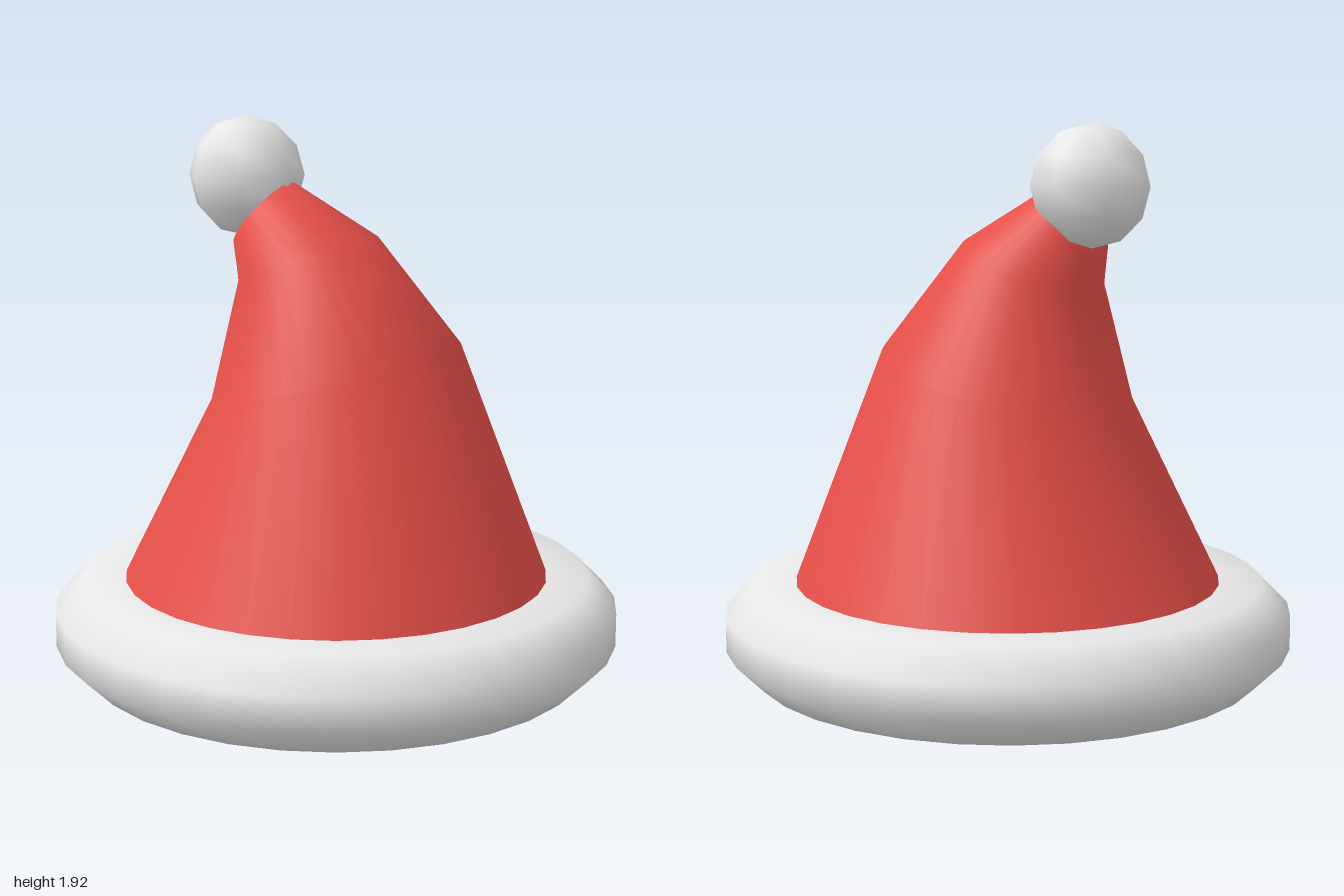
import * as THREE from 'three';

const SIDES = 32;

// Leaning cone: each ring is [lean, height, radius, tilt], leaning toward the back right corner.
function leaningCone(rings) {
  const lean = new THREE.Vector3(-1, 0, -1).normalize();
  const side = new THREE.Vector3(-1, 0, 1).normalize();
  const up = new THREE.Vector3(0, 1, 0);
  const positions = [], index = [];
  for (const [offset, height, radius, tilt] of rings) {
    const centre = lean.clone().multiplyScalar(offset).addScaledVector(up, height);
    const across = lean.clone().multiplyScalar(Math.cos(tilt)).addScaledVector(up, -Math.sin(tilt));
    for (let i = 0; i < SIDES; i++) {
      const a = (i / SIDES) * Math.PI * 2 + Math.PI / 4;
      const p = centre.clone()
        .addScaledVector(across, radius * Math.cos(a))
        .addScaledVector(side, radius * Math.sin(a));
      positions.push(p.x, p.y, p.z);
    }
  }
  for (let r = 0; r < rings.length - 1; r++) {
    for (let i = 0; i < SIDES; i++) {
      const j = (i + 1) % SIDES;
      const a = r * SIDES + i, b = r * SIDES + j;
      index.push(a, b, a + SIDES, b, b + SIDES, a + SIDES);
    }
  }
  const geometry = new THREE.BufferGeometry();
  geometry.setAttribute('position', new THREE.Float32BufferAttribute(positions, 3));
  geometry.setIndex(index);
  geometry.computeVertexNormals();
  return geometry;
}

export function createModel() {
  const model = new THREE.Group();
  model.name = 'festiveHat';
  const red = new THREE.MeshStandardMaterial({ color: 0xe74f49 });
  red.name = 'red felt';
  const white = new THREE.MeshStandardMaterial({ color: 0xe7e7e7 });
  white.name = 'white fur';

  const add = (name, geometry, material) => {
    const mesh = new THREE.Mesh(geometry, material);
    mesh.name = name;
    model.add(mesh);
    return mesh;
  };

  // Fur brim: a thick disc with bevelled, smooth-shaded edges
  const brimProfile = [[0, 0], [0.9, 0], [1, 0.1], [1, 0.22], [0.9, 0.32], [0.7, 0.32], [0, 0.32]]
    .map(([x, y]) => new THREE.Vector2(x, y));
  add('brim', new THREE.LatheGeometry(brimProfile, SIDES), white);

  // Felt cone bending over at the tip, closed under the pompom
  add('cone', leaningCone([
    [0, 0.31, 0.755, 0],
    [0, 1.05, 0.447, 0.24],
    [0.105, 1.44, 0.255, 0.33],
    [0.27, 1.59, 0.15, 0.85],
    [0.28, 1.6, 0, 0.85],
  ]), red);

  // Low-poly pompom
  const pompom = add('pompom', new THREE.SphereGeometry(0.21, 7, 6, -Math.PI / 2), white);
  pompom.position.set(-0.23, 1.715, -0.275);

  return model;
}
